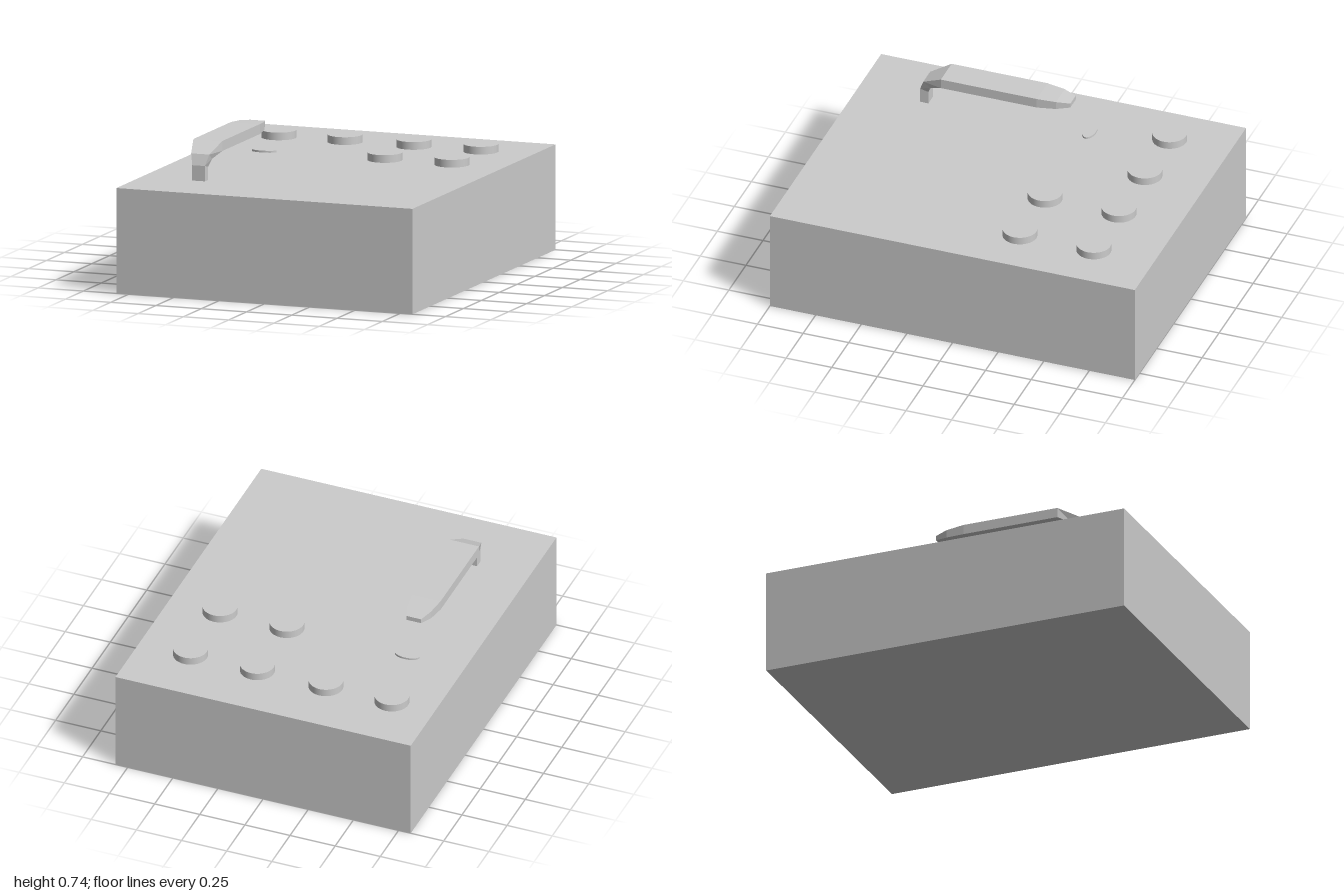
import * as THREE from 'three';

const grey = new THREE.MeshStandardMaterial({ color: 0xcccccc });
const faceted = new THREE.MeshStandardMaterial({ color: 0xcccccc, flatShading: true });

function add(group, name, geometry, x, y, z, material = grey) {
  const mesh = new THREE.Mesh(geometry, material);
  mesh.name = name;
  mesh.position.set(x, y, z);
  group.add(mesh);
  return mesh;
}

// Closed loft through rectangular sections: [half width, outer z, outer y, inner z, inner y]
function loftBar(sections) {
  const positions = [];
  const rings = sections.map(([w, oz, oy, iz, iy]) => [
    [-w, oy, oz], [w, oy, oz], [w, iy, iz], [-w, iy, iz],
  ]);
  const quad = (a, b, c, d) => positions.push(...a, ...b, ...c, ...a, ...c, ...d);
  for (let i = 0; i < rings.length - 1; i++) {
    for (let j = 0; j < 4; j++) {
      const k = (j + 1) % 4;
      quad(rings[i][j], rings[i][k], rings[i + 1][k], rings[i + 1][j]);
    }
  }
  const first = rings[0], last = rings[rings.length - 1];
  quad(first[3], first[2], first[1], first[0]);
  quad(last[0], last[1], last[2], last[3]);
  const geometry = new THREE.BufferGeometry();
  geometry.setAttribute('position', new THREE.Float32BufferAttribute(positions, 3));
  geometry.computeVertexNormals();
  return geometry;
}

export function createModel() {
  const model = new THREE.Group();
  model.name = 'controlBox';
  const top = 0.55;

  // Main block
  add(model, 'body', new THREE.BoxGeometry(1.635, top, 2), 0, top / 2, 0);

  // Round buttons: a full back row and a half row in front of it
  const buttons = new THREE.Group();
  buttons.name = 'buttons';
  model.add(buttons);
  const button = new THREE.CylinderGeometry(0.09, 0.09, 0.04, 48);
  for (const x of [-0.58, -0.215, 0.165, 0.535]) {
    add(buttons, 'button', button, x, top + 0.02, -0.67);
    if (x > 0) add(buttons, 'button', button, x, top + 0.02, -0.265);
  }

  // Small oval plate beyond the lever tip
  const oval = add(model, 'ovalPlate', new THREE.CylinderGeometry(1, 1, 0.01, 48), -0.5, top + 0.005, -0.262);
  oval.scale.set(0.067, 1, 0.034);

  // Bent lever: post, elbow, flat arm, tapered tip
  const lever = loftBar([
    [0.035, 0.655, 0.55, 0.61, 0.55],
    [0.035, 0.655, 0.63, 0.61, 0.62],
    [0.05, 0.632, 0.687, 0.595, 0.658],
    [0.08, 0.525, 0.742, 0.525, 0.69],
    [0.08, 0.0, 0.742, 0.0, 0.69],
    [0.066, -0.1, 0.737, -0.1, 0.695],
    [0.04, -0.17, 0.728, -0.17, 0.704],
  ]);
  add(model, 'lever', lever, -0.5, 0, 0, faceted);

  return model;
}
